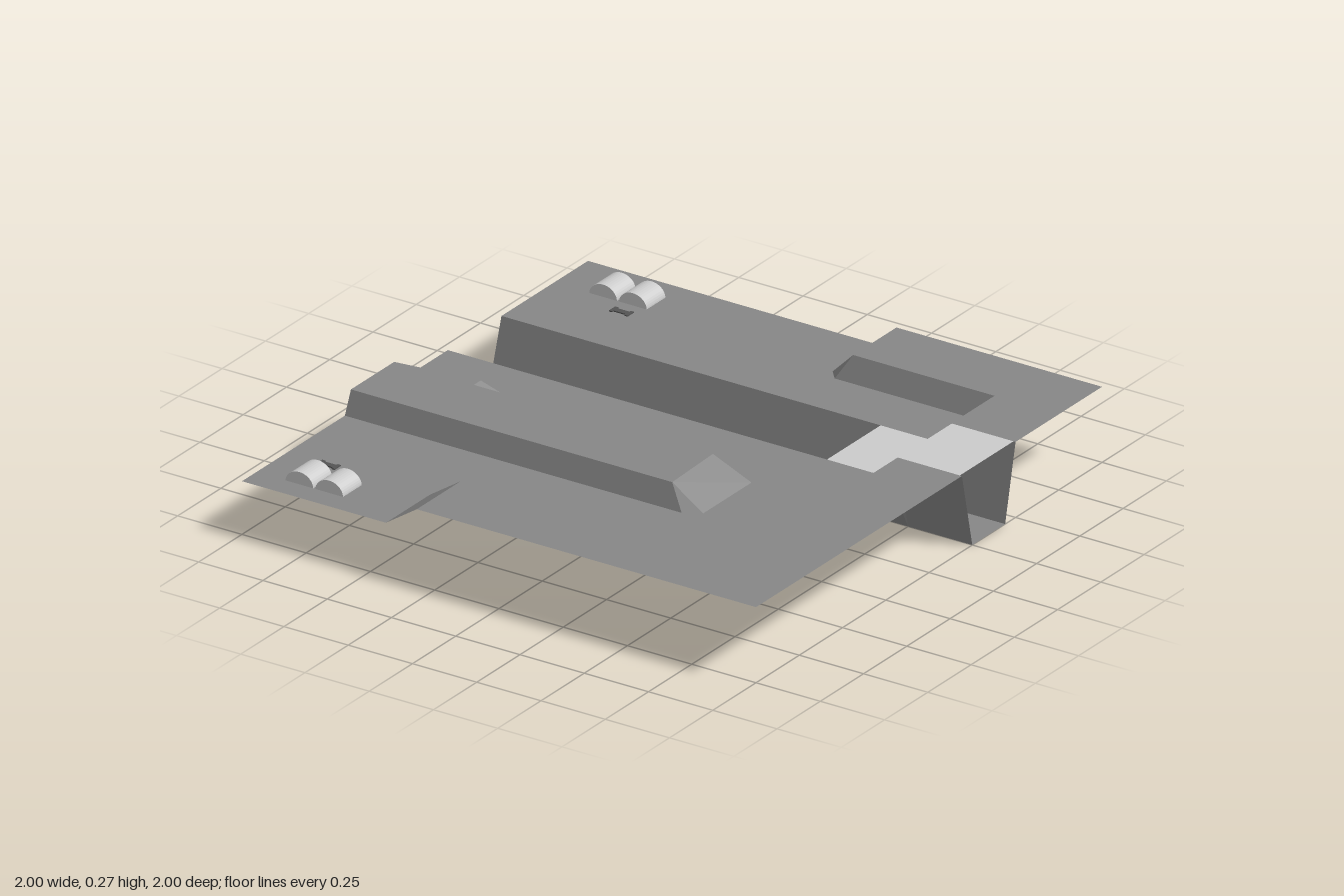
import * as THREE from 'three';

const LOW = 0.19, HIGH = 0.27;

export function createModel() {
  const model = new THREE.Group();
  const ground = new THREE.MeshStandardMaterial({ color: 0x878787, side: THREE.DoubleSide });
  const light = new THREE.MeshStandardMaterial({ color: 0xcccccc, side: THREE.DoubleSide });
  const dark = new THREE.MeshStandardMaterial({ color: 0x555555 });

  function add(name, geometry, material, parent = model) {
    const mesh = new THREE.Mesh(geometry, material);
    mesh.name = name;
    parent.add(mesh);
    return mesh;
  }

  // Flat polygon of [x, z] corners at height y
  function plateau(name, corners, y, material = ground) {
    const shape = new THREE.Shape(corners.map(([x, z]) => new THREE.Vector2(x, -z)));
    return add(name, new THREE.ShapeGeometry(shape).rotateX(-Math.PI / 2).translate(0, y, 0), material);
  }

  // Faceted band joining two matching lines of [x, y, z] points, facing upward
  function band(name, lineA, lineB) {
    const a = lineA.map(p => new THREE.Vector3(...p));
    const b = lineB.map(p => new THREE.Vector3(...p));
    const positions = [];
    const triangle = (p, q, r) => {
      const n = q.clone().sub(p).cross(r.clone().sub(p));
      if (n.length() < 1e-8) return;
      for (const v of n.y < 0 ? [p, r, q] : [p, q, r]) positions.push(v.x, v.y, v.z);
    };
    for (let i = 0; i < a.length - 1; i++) {
      triangle(a[i], b[i], b[i + 1]);
      triangle(a[i], b[i + 1], a[i + 1]);
    }
    const geometry = new THREE.BufferGeometry();
    geometry.setAttribute('position', new THREE.Float32BufferAttribute(positions, 3));
    geometry.computeVertexNormals();
    return add(name, geometry, ground);
  }
  const at = (points, y) => points.map(([x, z]) => [x, y, z]);

  // Foot and crest of each slope, as matching lines
  const frontFoot = [[-0.44, 1], [-0.44, 0.745], [-0.38, 0.72], [0.62, 0.72], [0.715, 0.69], [0.715, -0.19]];
  const frontCrest = [[-0.32, 1], [-0.32, 0.745], [-0.32, 0.745], [0.68, 0.745], [0.75, 0.69], [0.75, -0.19]];
  const backFoot = [[0.12, -1], [0.12, -0.75], [0.155, -0.71], [0.715, -0.71], [0.715, -0.5]];
  const backCrest = [[0.2, -1], [0.2, -0.75], [0.2, -0.75], [0.75, -0.75], [0.75, -0.5]];
  const hillFoot = [[-1, 0], [-0.63, 0], [-0.63, 0.09], [0.37, 0.09], [0.37, 0.37], [0.31, 0.405], [-1, 0.405]];
  const hillCrest = [[-1, 0.12], [-0.69, 0.08], [-0.69, 0.12], [0.24, 0.12], [0.25, 0.37], [0.25, 0.37], [-1, 0.37]];

  // Lower ground on both sides of the trench
  plateau('backLowGround', [[-1, -1], ...backFoot, [-1, -0.5]], LOW);
  plateau('frontLowGround', [[-1, -0.19], ...[...frontFoot].reverse(), [-1, 1], ...[...hillFoot].reverse()], LOW);

  // Raised ground along the edges, and the hill
  plateau('backHighGround', [...backCrest, [1, -0.5], [1, -1]], HIGH);
  plateau('frontHighGround', [...frontCrest, [1, -0.19], [1, 1]], HIGH);
  plateau('hillTop', hillCrest, HIGH);
  band('backSlope', at(backFoot, LOW), at(backCrest, HIGH));
  band('frontSlope', at(frontFoot, LOW), at(frontCrest, HIGH));
  band('hillSlope', at(hillFoot, LOW), at(hillCrest, HIGH));

  // Trench: two sloping banks and a bed
  const steps = [[-1, LOW], [0.715, LOW], [0.75, HIGH], [1, HIGH]];
  for (const [name, top, bottom] of [['backBank', -0.5, -0.44], ['frontBank', -0.19, -0.25]]) {
    band(name, steps.map(([x, y]) => [x, y, top]), steps.map(([x]) => [x, 0, bottom]));
  }
  plateau('trenchBed', [[-1, -0.44], [1, -0.44], [1, -0.25], [-1, -0.25]], 0);

  // Thin bridge decks over the trench
  for (const [name, x0, x1, y] of [['lowBridge', 0.475, 0.712, LOW], ['highBridge', 0.752, 0.992, HIGH]]) {
    plateau(name, [[x0, -0.5], [x1, -0.5], [x1, -0.19], [x0, -0.19]], y, light);
  }

  // Pairs of round-roofed huts, each with a small ground marker
  const profile = new THREE.Shape();
  profile.absellipse(0, 0, 0.054, 0.046, 0, Math.PI);
  profile.closePath();
  const hutGeometry = new THREE.ExtrudeGeometry(profile, { depth: 0.108, bevelEnabled: false, curveSegments: 10 })
    .translate(0, 0, -0.054);
  const camps = [['frontCamp', -0.775, 0.862, -0.06, -0.117], ['backCamp', -0.75, -0.856, 0.055, 0.116]];
  for (const [name, x, z, markerX, markerZ] of camps) {
    const camp = new THREE.Group();
    camp.name = name;
    camp.position.set(x, LOW - 0.002, z);
    for (const side of [-1, 1]) add('hut', hutGeometry, light, camp).position.x = side * 0.058;
    add('marker', new THREE.BoxGeometry(0.05, 0.006, 0.022), dark, camp).position.set(markerX, 0.003, markerZ);
    for (const side of [-1, 1]) {
      add('markerEnd', new THREE.BoxGeometry(0.012, 0.006, 0.036), dark, camp)
        .position.set(markerX + side * 0.03, 0.003, markerZ);
    }
    model.add(camp);
  }
  return model;
}
